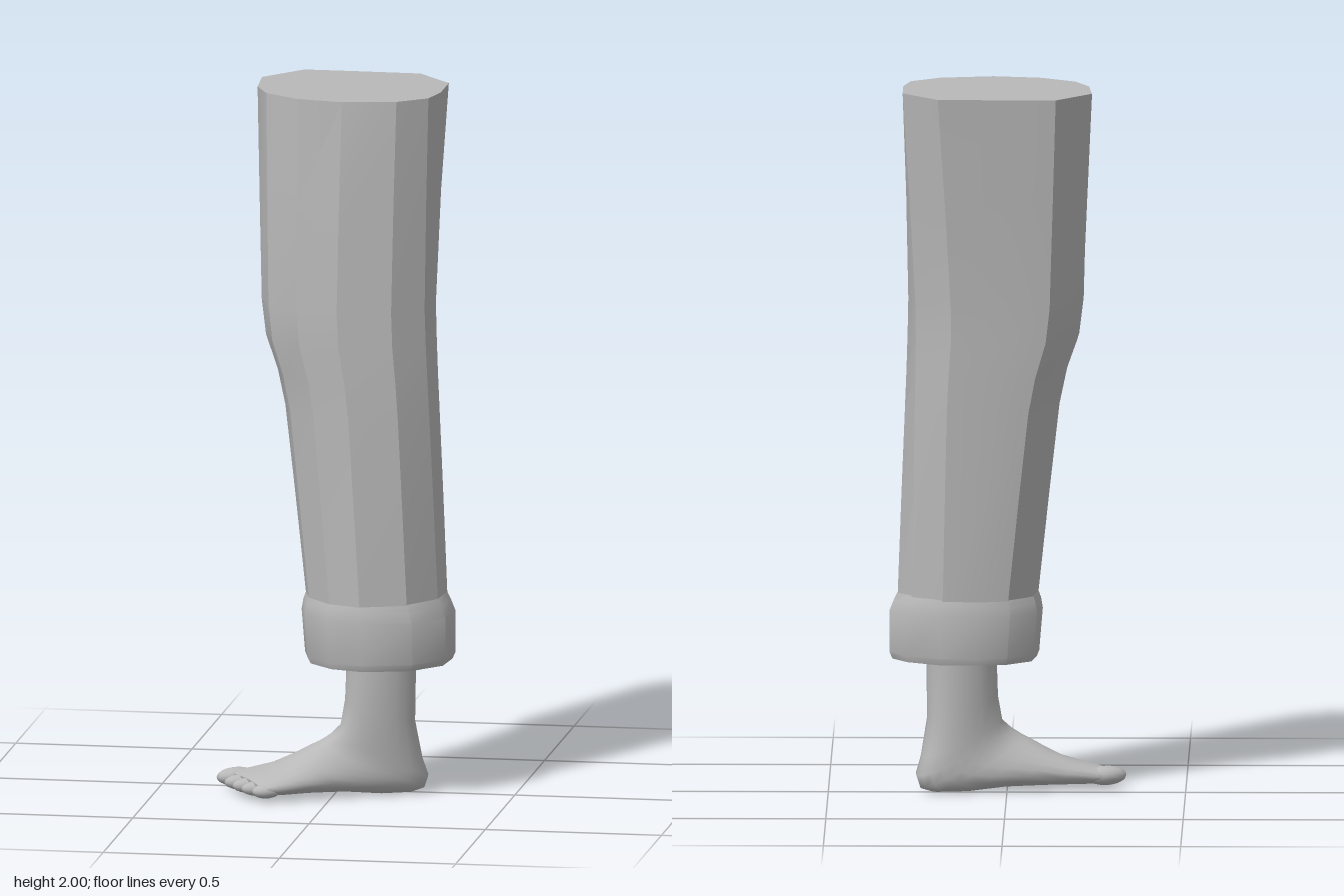
import * as THREE from 'three';
import { toCreasedNormals } from 'three/addons/utils/BufferGeometryUtils.js';

// Joins equal-length rings of points into a closed, capped skin
function loft(rings) {
  const n = rings[0].length, pts = rings.flat(), index = [];
  for (let i = 0; i < rings.length - 1; i++) {
    for (let j = 0; j < n; j++) {
      const k = (j + 1) % n, a = i * n + j, b = i * n + k;
      index.push(a, b, b + n, a, b + n, a + n);
    }
  }
  const addCap = (ring, flip) => {
    const base = pts.length;
    const centre = ring.reduce((s, p) => s.add(p), new THREE.Vector3()).divideScalar(n);
    pts.push(...ring, centre);
    for (let j = 0; j < n; j++) {
      const k = (j + 1) % n;
      index.push(base + n, base + (flip ? k : j), base + (flip ? j : k));
    }
  };
  addCap(rings[0], true);
  addCap(rings[rings.length - 1], false);
  const geo = new THREE.BufferGeometry().setFromPoints(pts);
  geo.setIndex(index);
  geo.computeVertexNormals();
  return geo;
}

// Twelve-sided outlines (x, z) of the trouser leg at its top and its hem
const topOutline = [[-0.14, -0.26], [0, -0.26], [0.19, -0.256], [0.29, -0.135], [0.29, 0], [0.27, 0.09],
  [0.19, 0.155], [0.04, 0.185], [-0.09, 0.16], [-0.19, 0.09], [-0.23, 0], [-0.24, -0.135]];
const hemOutline = [[-0.01, -0.14], [0.08, -0.155], [0.19, -0.15], [0.285, -0.09], [0.33, -0.02], [0.32, 0.09],
  [0.24, 0.185], [0.1, 0.225], [0.0, 0.195], [-0.075, 0.12], [-0.1, 0.03], [-0.085, -0.07]];

const unit = (v, lo, hi) => (v - lo) / (hi - lo);
// Blends the two outlines and fits the result to the given x and z limits
function clothRing([y, x0, x1, z0, z1]) {
  const t = THREE.MathUtils.clamp((y - 0.55) / 1.45, 0, 1);
  const mix = topOutline.map(([tx, tz], j) => [
    THREE.MathUtils.lerp(unit(hemOutline[j][0], -0.1, 0.33), unit(tx, -0.24, 0.29), t),
    THREE.MathUtils.lerp(unit(hemOutline[j][1], -0.155, 0.225), unit(tz, -0.26, 0.185), t)]);
  return mix.map(([u, v]) => new THREE.Vector3(x0 + u * (x1 - x0), y, z0 + v * (z1 - z0)));
}

// Foot space: d runs towards the toes, n across the foot
const footPoint = (d, y, n) => new THREE.Vector3(-0.945 * d + 0.33 * n, y, 0.33 * d + 0.945 * n);

// Rings swing from level at the ankle to upright at the toes
function footRing([d0, y0, d1, y1, n, w, skew]) {
  const ring = [];
  for (let j = 0; j < 20; j++) {
    const a = j / 20 * Math.PI * 2, s = Math.sin(a), t = (1 - Math.cos(a)) / 2;
    const off = -w * Math.sign(s) * Math.abs(s) ** 0.8;
    ring.push(footPoint(d0 + (d1 - d0) * t - skew * off, y0 + (y1 - y0) * t, n + off));
  }
  return ring;
}

export function createModel() {
  const model = new THREE.Group();
  const grey = new THREE.MeshStandardMaterial({ color: 0xb8b8b8 });
  grey.name = 'plain grey';
  const add = (name, geo, parent = model) => {
    const mesh = new THREE.Mesh(geo, grey);
    mesh.name = name;
    parent.add(mesh);
    return mesh;
  };

  // Trouser leg with a knee bulge: y, x limits, z limits
  add('trouserLeg', toCreasedNormals(loft([
    [2, -0.24, 0.29, -0.26, 0.185], [1.7, -0.23, 0.282, -0.228, 0.197],
    [1.4, -0.22, 0.276, -0.2, 0.208], [1.3, -0.207, 0.278, -0.194, 0.21],
    [1.2, -0.172, 0.281, -0.188, 0.211], [1.1, -0.15, 0.285, -0.182, 0.212],
    [0.85, -0.12, 0.295, -0.167, 0.215], [0.55, -0.086, 0.306, -0.15, 0.217],
  ].map(clothRing)), 0.4));

  // Rolled cuff, turned inwards to a hollow hem
  add('cuff', toCreasedNormals(loft([
    [0.575, -0.086, 0.304, -0.148, 0.214], [0.55, -0.095, 0.316, -0.153, 0.222],
    [0.52, -0.1, 0.328, -0.156, 0.226], [0.4, -0.09, 0.328, -0.152, 0.224],
    [0.382, -0.083, 0.32, -0.146, 0.217], [0.385, -0.06, 0.296, -0.124, 0.194],
    [0.41, -0.052, 0.288, -0.116, 0.186], [0.53, -0.052, 0.288, -0.116, 0.186],
  ].map(clothRing)), 0.6));

  // Bare ankle and foot: instep d, y; heel or sole d, y; n centre, half width, skew
  const foot = new THREE.Group();
  foot.name = 'foot';
  model.add(foot);
  add('ankleAndFoot', loft([
    [-0.01, 0.56, -0.205, 0.56, 0.08, 0.088, 0], [-0.01, 0.38, -0.205, 0.38, 0.08, 0.086, 0],
    [-0.005, 0.27, -0.203, 0.21, 0.08, 0.078, 0], [0.008, 0.2, -0.225, 0.1, 0.075, 0.073, 0],
    [0.035, 0.175, -0.243, 0.05, 0.07, 0.071, 0], [0.05, 0.165, -0.232, 0.015, 0.068, 0.072, 0],
    [0.065, 0.155, -0.195, 0.003, 0.065, 0.074, 0], [0.09, 0.142, -0.11, 0.002, 0.062, 0.081, 0],
    [0.13, 0.118, 0, 0.012, 0.058, 0.094, 0.05], [0.18, 0.092, 0.11, 0.013, 0.056, 0.11, 0.12],
    [0.235, 0.075, 0.2, 0.012, 0.055, 0.122, 0.2], [0.265, 0.066, 0.255, 0.014, 0.055, 0.122, 0.26],
    [0.28, 0.058, 0.275, 0.02, 0.055, 0.114, 0.26],
  ].map(footRing)), foot);

  // Toes, from big to little: d, n, half length, half width, half height
  const toes = [[0.28, -0.036, 0.06, 0.033, 0.027], [0.27, 0.022, 0.058, 0.026, 0.023],
    [0.26, 0.068, 0.053, 0.025, 0.022], [0.247, 0.112, 0.048, 0.024, 0.021], [0.232, 0.153, 0.04, 0.025, 0.02]];
  toes.forEach(([d, n, length, width, height], i) => {
    const toe = add(i ? 'smallToe' + i : 'bigToe', new THREE.SphereGeometry(1, 14, 10), foot);
    toe.scale.set(length, height, width);
    toe.position.copy(footPoint(d, 0.014 + height, n));
    toe.rotation.y = Math.atan2(0.33, 0.945);
  });
  return model;
}
